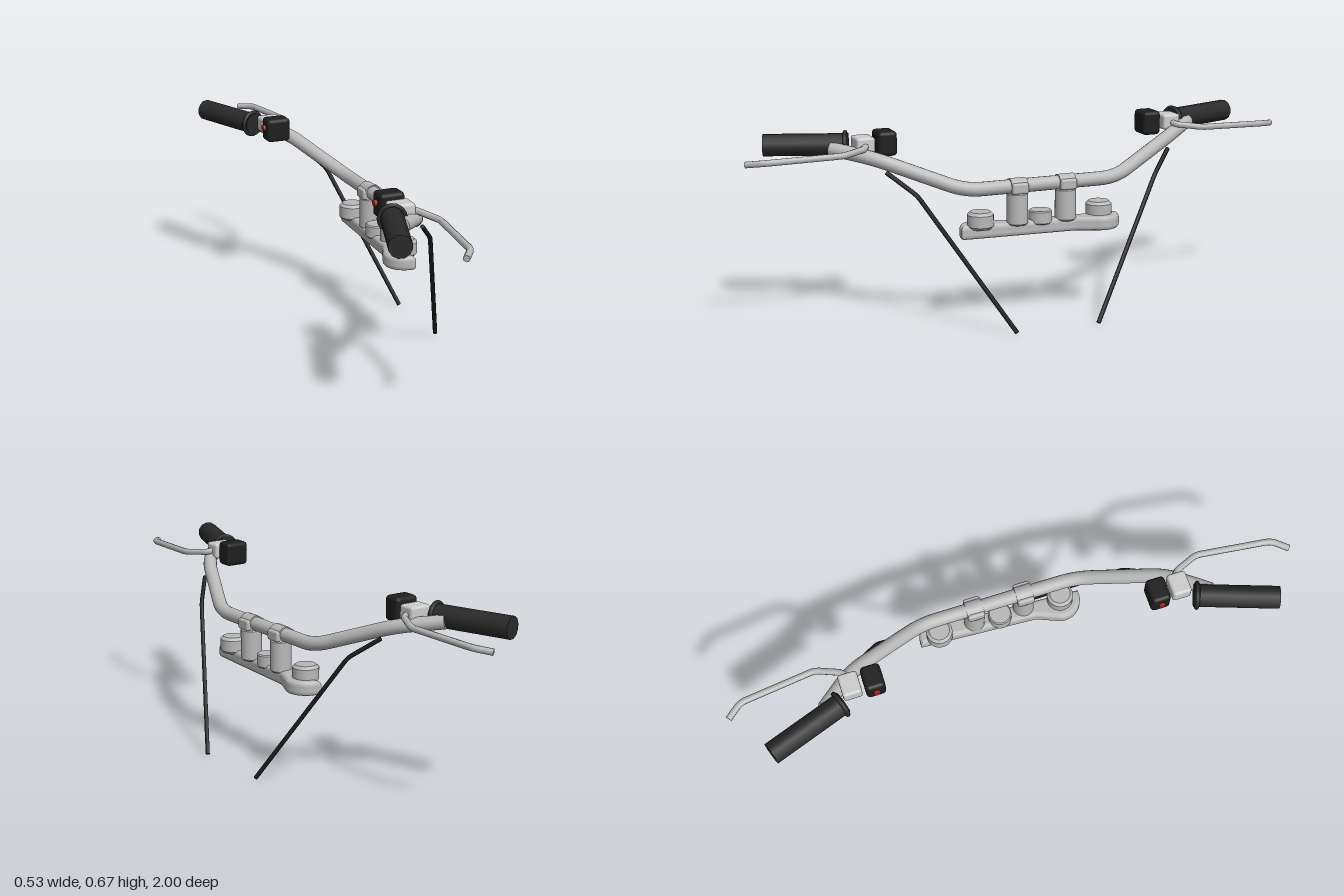
import * as THREE from 'three';
import { RoundedBoxGeometry } from 'three/addons/geometries/RoundedBoxGeometry.js';

const V = (x, y, z) => new THREE.Vector3(x, y, z);
const mat = (name, color) => new THREE.MeshStandardMaterial({ name, color });

export function createModel() {
  const root = new THREE.Group();
  root.name = 'handlebarAssembly';
  const metal = mat('satin metal', 0xb9b9b9);
  const alloy = mat('light alloy', 0xcdcdcd);
  const rubber = mat('black rubber', 0x2a2a2a);
  const plastic = mat('black plastic', 0x1e1e1e);
  const red = mat('red button', 0xb03028);

  function add(name, geo, material, pos = [0, 0, 0], parent = root) {
    const m = new THREE.Mesh(geo, material);
    m.name = name;
    m.position.set(...pos);
    parent.add(m);
    return m;
  }

  // straight runs joined by rounded corners, closed with end discs
  function rod(name, pts, radius, bend, sides, material) {
    const path = new THREE.CurvePath();
    let last = pts[0];
    for (let i = 1; i < pts.length - 1; i++) {
      const p = pts[i];
      const reach = q => p.clone().add(q.clone().sub(p).setLength(bend));
      const a = reach(pts[i - 1]), b = reach(pts[i + 1]);
      path.add(new THREE.LineCurve3(last, a));
      path.add(new THREE.QuadraticBezierCurve3(a, p, b));
      last = b;
    }
    path.add(new THREE.LineCurve3(last, pts.at(-1)));
    const g = new THREE.Group();
    g.name = name;
    root.add(g);
    add(name + 'Tube', new THREE.TubeGeometry(path, 90, radius, sides, false), material, [0, 0, 0], g);
    for (const [end, next] of [[pts[0], pts[1]], [pts.at(-1), pts.at(-2)]]) {
      const cap = add(name + 'End', new THREE.CircleGeometry(radius, sides), material, end.toArray(), g);
      cap.quaternion.setFromUnitVectors(V(0, 0, 1), end.clone().sub(next).normalize());
    }
  }

  // turned disc with softened rims
  function puck(name, r, y0, y1, x, z, edge = 0.008) {
    const p = [[0, y0], [r - edge, y0], [r, y0 + edge], [r, y1 - edge], [r - edge, y1], [0, y1]];
    const pts = [];
    p.forEach(([a, b], i) => {
      pts.push(new THREE.Vector2(a, b));
      if (i > 0 && i < 5) pts.push(new THREE.Vector2(a, b)); // doubled for a crisp edge
    });
    add(name, new THREE.LatheGeometry(pts, 24), metal, [x, 0, z]);
  }

  // main bar
  const half = [V(0.107, 0.48, 0.28), V(-0.02, 0.588, 0.56), V(-0.125, 0.612, 0.68)];
  const flip = p => V(p.x, p.y, -p.z);
  rod('handlebar', [...half.map(flip).reverse(), ...half], 0.0245, 0.06, 16, metal);

  // lower clamp plate: one half lobe at each end, on opposite sides
  const cx = 0.0967, bev = 0.014, r = 0.072 - bev, lobe = 0.222;
  const plate = new THREE.Shape();
  plate.moveTo(0, lobe + r);
  plate.absarc(0, lobe, r, Math.PI / 2, Math.PI * 1.18, false);
  plate.lineTo(-0.022, 0.125);
  plate.lineTo(0, -lobe - r);
  plate.absarc(0, -lobe, r, -Math.PI / 2, Math.PI * 0.18, false);
  plate.lineTo(0.022, -0.125);
  plate.closePath();
  const plateGeo = new THREE.ExtrudeGeometry(plate, {
    depth: 0.05 - 2 * bev, bevelThickness: bev, bevelSize: bev, bevelSegments: 3, curveSegments: 14,
  });
  plateGeo.rotateX(Math.PI / 2); // shape y becomes z, depth runs down
  add('clampPlate', plateGeo, metal, [cx, 0.355 - bev, 0]);
  puck('stemNut', 0.041, 0.34, 0.387, cx, 0, 0.004);

  for (const s of [1, -1]) {
    const side = s > 0 ? 'front' : 'rear';

    // fork caps and bar risers
    puck(side + 'ForkCap', 0.046, 0.34, 0.4, cx, s * lobe, 0.01);
    puck(side + 'Riser', 0.037, 0.345, 0.46, 0.108, s * 0.09, 0.006);
    const collar = new THREE.CylinderGeometry(0.031, 0.031, 0.06, 12).rotateX(Math.PI / 2);
    add(side + 'BarCollar', collar, metal, [0.107, 0.478, s * 0.09]);
    add(side + 'CollarLugs', new RoundedBoxGeometry(0.076, 0.038, 0.06, 2, 0.008), metal, [0.107, 0.476, s * 0.09]);

    // grip with flange
    const grip = new THREE.Group();
    grip.name = side + 'Grip';
    grip.position.set(-0.13, 0.622, s * 0.615);
    grip.quaternion.setFromUnitVectors(V(0, 1, 0), V(-0.096, 0, s * 0.272).normalize());
    root.add(grip);
    add('gripSleeve', new THREE.CylinderGeometry(0.0385, 0.0385, 0.29, 12), rubber, [0, 0.145, 0], grip);
    add('gripFlange', new THREE.CylinderGeometry(0.045, 0.045, 0.012, 20), rubber, [0, 0.011, 0], grip);
    add('gripFlangeRim', new THREE.TorusGeometry(0.041, 0.008, 8, 20).rotateX(Math.PI / 2), rubber, [0, 0.011, 0], grip);

    // lever and its perch
    add(side + 'LeverPerch', new RoundedBoxGeometry(0.08, 0.056, 0.066, 2, 0.01), alloy, [-0.083, 0.628, s * 0.578]);
    rod(side + 'Lever', [V(-0.075, 0.632, s * 0.575), V(-0.03, 0.622, s * 0.585), V(0.01, 0.612, s * 0.675),
      V(-0.018, 0.602, s * 0.94), V(-0.058, 0.594, s * 0.992)], 0.0115, 0.02, 8, metal);

    // switch housing with button
    add(side + 'SwitchHousing', new RoundedBoxGeometry(0.088, 0.086, 0.068, 2, 0.014), plastic, [-0.088, 0.628, s * 0.5]);
    const button = new THREE.CylinderGeometry(0.011, 0.011, 0.012, 12).rotateZ(Math.PI / 2);
    add(side + 'SwitchButton', button, red, [-0.136, 0.636, s * 0.5]);

    // control cable
    rod(side + 'Cable', [V(0.018, 0.545, s * 0.53), V(0.088, 0.472, s * 0.445), V(0.256, 0.004, s * 0.152)],
      0.0078, 0.02, 8, plastic);
  }
  return root;
}
